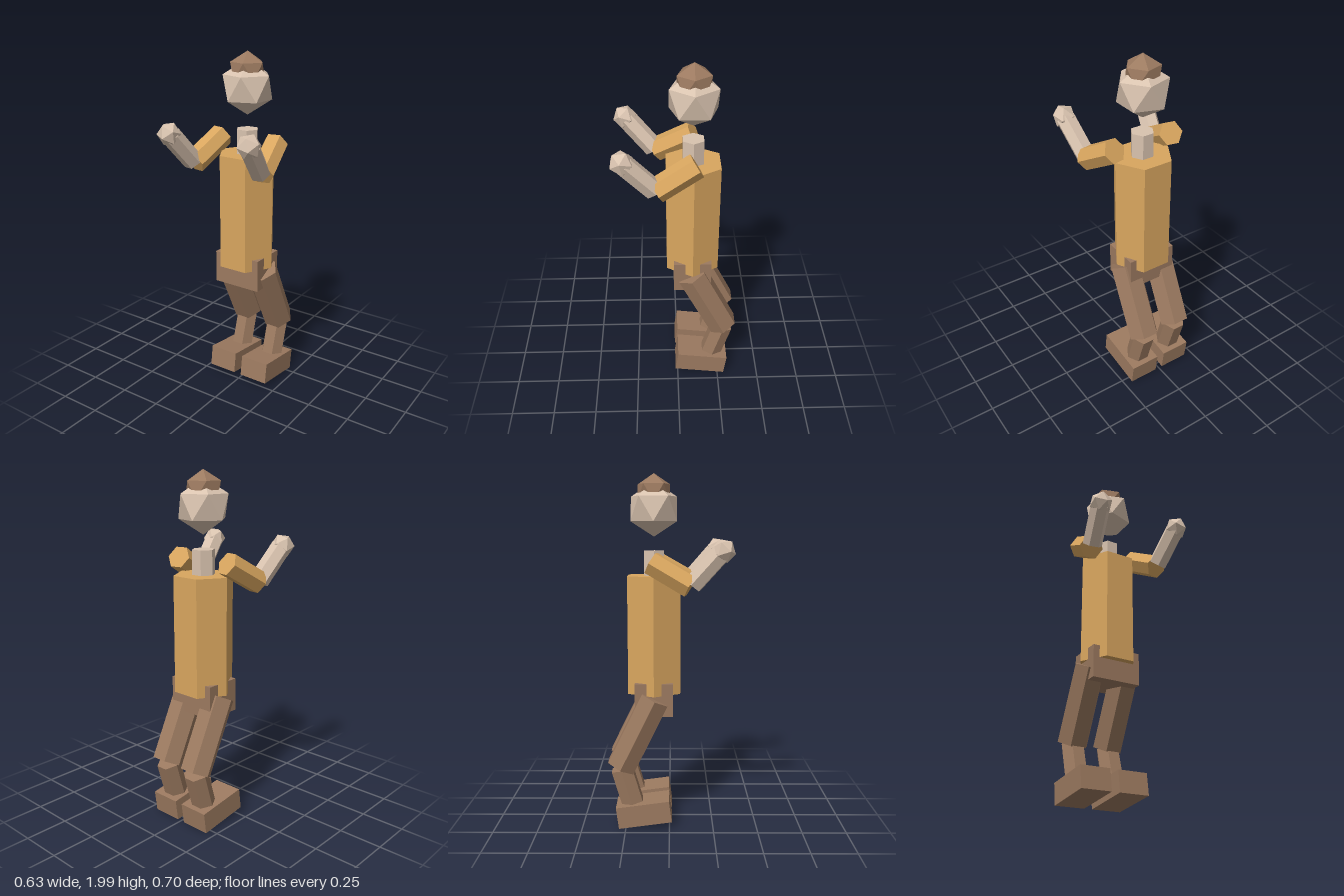
import * as THREE from 'three';

const flat = (name, color) => {
  const m = new THREE.MeshStandardMaterial({ color, flatShading: true });
  m.name = name;
  return m;
};

export function createModel() {
  const model = new THREE.Group();
  model.name = 'figure';
  const ochre = flat('ochre', 0xd9a65f);
  const skin = flat('skin', 0xd9c3af);
  const brown = flat('brown', 0x9c7a60);
  const Z = -0.087; // body axis

  function add(name, geometry, material, x = 0, y = 0, z = 0) {
    const mesh = new THREE.Mesh(geometry, material);
    mesh.name = name;
    mesh.position.set(x, y, z);
    model.add(mesh);
    return mesh;
  }

  // Six-sided prism between two points, with two corners kept level sideways
  function prism(name, from, to, radius, material) {
    const a = new THREE.Vector3(...from);
    const b = new THREE.Vector3(...to);
    const up = b.clone().sub(a);
    const geometry = new THREE.CylinderGeometry(radius, radius, up.length(), 6).rotateY(Math.PI / 6);
    up.normalize();
    const side = new THREE.Vector3(up.z, 0, -up.x);
    if (side.length() < 1e-4) side.set(1, 0, 0);
    side.normalize();
    const basis = new THREE.Matrix4().makeBasis(side, up, side.clone().cross(up));
    const mid = a.add(b).multiplyScalar(0.5);
    const mesh = add(name, geometry, material, mid.x, mid.y, mid.z);
    mesh.quaternion.setFromRotationMatrix(basis);
    return mesh;
  }

  // Icosahedron standing on a corner
  const ball = (radius) =>
    new THREE.IcosahedronGeometry(radius, 0).rotateZ(-Math.atan(2 / (1 + Math.sqrt(5))));

  // Trunk and head
  prism('torso', [0, 0.773, Z], [0, 1.44, Z], 0.171, ochre);
  prism('neck', [0, 1.40, Z], [0, 1.578, Z], 0.065, skin);
  add('pelvis', new THREE.BoxGeometry(0.293, 0.19, 0.216), brown, 0, 0.748, Z);
  add('head', ball(0.152), skin, 0, 1.807, Z);
  add('hair', ball(0.106), brown, 0, 1.894, Z);

  // Limbs on both sides
  for (const [label, s] of [['left', 1], ['right', -1]]) {
    prism(label + 'UpperArm', [s * 0.222, 1.396, 0.114], [s * 0.18, 1.518, -0.098], 0.069, ochre);
    const forearm = prism(label + 'Forearm', [s * 0.222, 1.405, 0.125], [s * 0.253, 1.576, 0.276], 0.057, skin);
    const hand = add(label + 'Hand', ball(0.067), skin, s * 0.256, 1.583, 0.284);
    hand.quaternion.copy(forearm.quaternion);

    prism(label + 'Thigh', [s * 0.112, 0.352, -0.278], [s * 0.112, 0.752, -0.082], 0.0915, brown);
    prism(label + 'Shin', [s * 0.112, 0.095, -0.2], [s * 0.112, 0.342, -0.273], 0.069, brown);
    const foot = add(label + 'Foot', new THREE.BoxGeometry(0.178, 0.125, 0.305), brown, s * 0.113, 0.089, -0.146);
    foot.rotation.x = -0.135;
  }
  return model;
}
